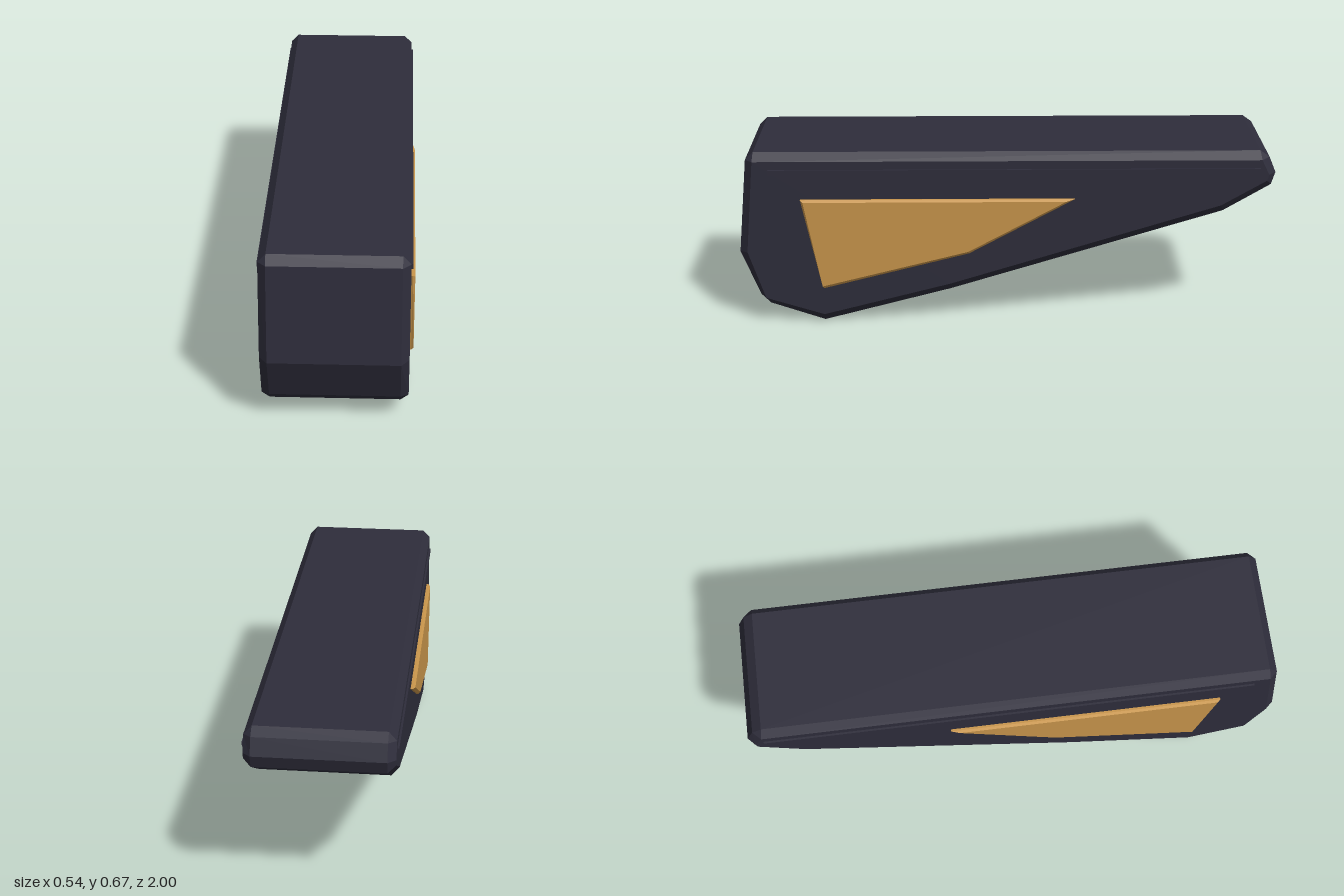
import * as THREE from 'three';

// Flat-shaded loft through equal-length [z, y] outlines placed at x positions, with fan caps.
function loft(rings) {
  const pos = [];
  const P = rings.map(([x, pts]) => pts.map(([z, y]) => new THREE.Vector3(x, y, z)));
  const tri = (a, b, c) => {
    const area = b.clone().sub(a).cross(c.clone().sub(a)).length();
    if (area > 1e-7) for (const v of [a, b, c]) pos.push(v.x, v.y, v.z);
  };
  const n = P[0].length;
  for (let r = 0; r < P.length - 1; r++) {
    for (let i = 0; i < n; i++) {
      const j = (i + 1) % n;
      tri(P[r][i], P[r][j], P[r + 1][j]);
      tri(P[r][i], P[r + 1][j], P[r + 1][i]);
    }
  }
  const first = P[0], last = P[P.length - 1];
  for (let i = 1; i < n - 1; i++) {
    tri(last[0], last[i], last[i + 1]);
    tri(first[0], first[i + 1], first[i]);
  }
  const g = new THREE.BufferGeometry();
  g.setAttribute('position', new THREE.Float32BufferAttribute(pos, 3));
  g.computeVertexNormals();
  return g;
}

export function createModel() {
  const model = new THREE.Group();
  const dark = new THREE.MeshStandardMaterial({ color: 0x2e2d3b });
  dark.name = 'dark slate';
  const gold = new THREE.MeshStandardMaterial({ color: 0xc8954b });
  gold.name = 'gold';

  const add = (name, geometry, material) => {
    const mesh = new THREE.Mesh(geometry, material);
    mesh.name = name;
    model.add(mesh);
    return mesh;
  };

  // Wedge body: chamfered outline across the middle, inset outline on the sides
  const outer = [
    [0.935, 0.67], [0.965, 0.64], [1.0, 0.28], [0.93, 0.106], [0.895, 0.07],
    [0.69, 0], [0.21, 0.125], [-0.81, 0.435], [-0.985, 0.538],
    [-1.0, 0.585], [-0.975, 0.645], [-0.94, 0.67],
  ];
  const inner = [
    [0.937, 0.64], [0.937, 0.64], [0.97, 0.285], [0.908, 0.1], [0.908, 0.1],
    [0.69, 0.032], [0.21, 0.155], [-0.8, 0.464], [-0.966, 0.56],
    [-0.973, 0.583], [-0.945, 0.64], [-0.945, 0.64],
  ];
  add('body', loft([[-0.256, inner], [-0.228, outer], [0.228, outer], [0.256, inner]]), dark);

  // Raised side panels and thin upper rails, mirrored left and right
  const panelOuter = [[0.765, 0.494], [0.687, 0.142], [0.14, 0.28], [-0.255, 0.494]];
  const panelInner = [[0.755, 0.486], [0.692, 0.152], [0.143, 0.289], [-0.222, 0.486]];
  for (const [side, s] of [['left', 1], ['right', -1]]) {
    const rings = [[s * 0.24, panelOuter], [s * 0.264, panelOuter], [s * 0.272, panelInner]];
    if (s < 0) rings.reverse();
    add(side + 'Panel', loft(rings), gold);

    const rail = add(side + 'Rail', new THREE.BoxGeometry(0.02, 0.02, 1.82), dark);
    rail.position.set(s * 0.253, 0.599, -0.03);
  }
  return model;
}
